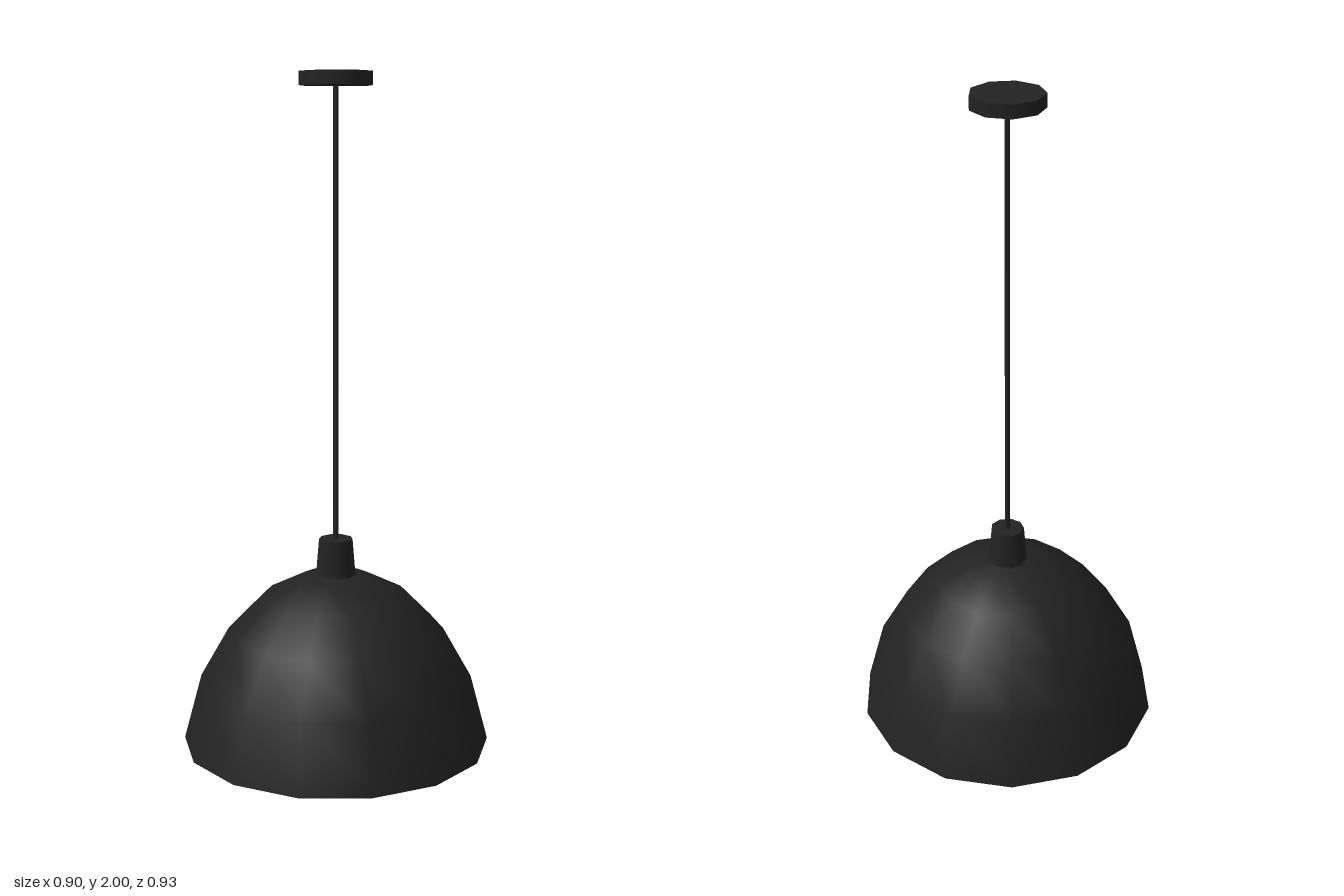
import * as THREE from 'three';

export function createModel() {
  const lamp = new THREE.Group();
  lamp.name = 'pendantLamp';

  const black = new THREE.MeshStandardMaterial({ color: 0x222222, side: THREE.DoubleSide });
  black.name = 'matte black';
  const cream = new THREE.MeshStandardMaterial({ color: 0xe8dccf });
  cream.name = 'warm white';

  const add = (name, geometry, material, y) => {
    const mesh = new THREE.Mesh(geometry, material);
    mesh.name = name;
    mesh.position.y = y;
    lamp.add(mesh);
  };
  // upright cylinder given by its bottom and top heights
  const post = (name, rTop, rBottom, y0, y1, sides) =>
    add(name, new THREE.CylinderGeometry(rTop, rBottom, y1 - y0, sides), black, (y0 + y1) / 2);

  // ceiling plate, cord and collar
  post('ceilingPlate', 0.107, 0.107, 1.96, 2, 9);
  post('cord', 0.008, 0.008, 0.62, 1.965, 8);
  post('collar', 0.051, 0.061, 0.51, 0.63, 9);

  // open dome shade with fourteen sides
  const profile = [
    [0.463, 0], [0.458, 0.02], [0.41, 0.2], [0.325, 0.35],
    [0.22, 0.455], [0.105, 0.513], [0, 0.527],
  ].map(([r, y]) => new THREE.Vector2(r, y));
  add('shade', new THREE.LatheGeometry(profile, 14), black, 0);

  // bulb hanging from its socket inside the shade
  post('socket', 0.04, 0.04, 0.21, 0.515, 9);
  add('bulb', new THREE.SphereGeometry(0.093, 24, 16), cream, 0.14);

  return lamp;
}
